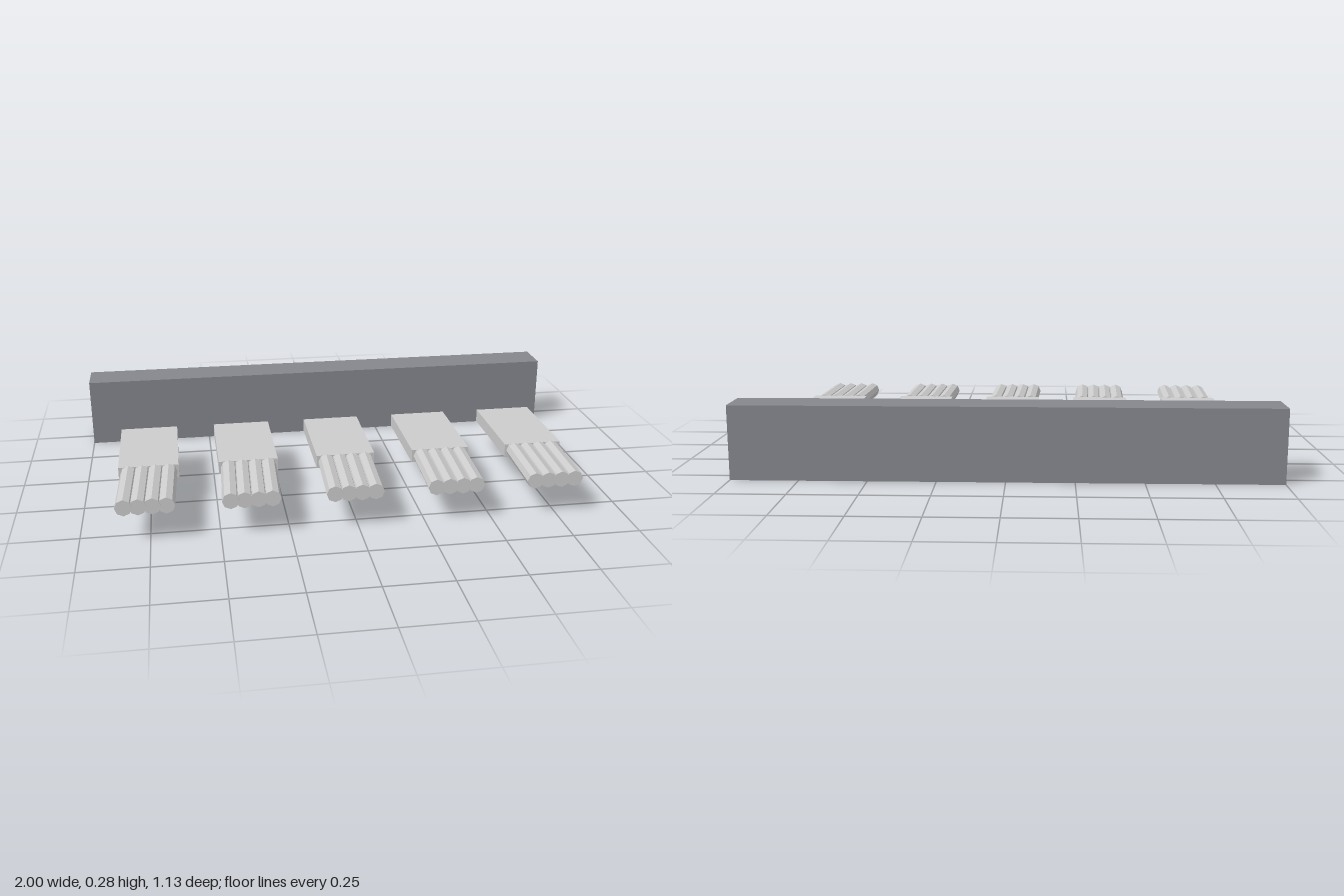
import * as THREE from 'three';

const grey = new THREE.MeshStandardMaterial({ color: 0xcccccc, flatShading: true });
const darkGrey = new THREE.MeshStandardMaterial({ color: 0x85878d });

const MID_Y = 0.138;

function addMesh(parent, name, geometry, material, x, y, z) {
  const mesh = new THREE.Mesh(geometry, material);
  mesh.name = name;
  mesh.position.set(x, y, z);
  parent.add(mesh);
  return mesh;
}

// One flat plate with four slightly slanted rods at its front end
function createFinger() {
  const finger = new THREE.Group();
  addMesh(finger, 'plate', new THREE.BoxGeometry(0.225, 0.051, 0.4), grey, 0, 0, 0.064);

  const rodLength = 0.301;
  const tilt = 0.04;
  const rodGeometry = new THREE.CylinderGeometry(0.031, 0.031, rodLength, 8);
  rodGeometry.rotateX(Math.PI / 2);
  rodGeometry.rotateY(-tilt);
  for (let i = 0; i < 4; i++) {
    const x = (i - 1.5) * 0.05 - Math.sin(tilt) * rodLength / 2;
    addMesh(finger, 'rod', rodGeometry, grey, x, 0, 0.414);
  }
  return finger;
}

export function createModel() {
  const model = new THREE.Group();
  model.name = 'barWithFingers';

  // Long bar at the back
  addMesh(model, 'bar', new THREE.BoxGeometry(2, 0.276, 0.15), darkGrey, 0, 0.138, -0.49);

  // Row of five fingers in front of the bar
  for (let i = 0; i < 5; i++) {
    const finger = createFinger();
    finger.name = 'finger';
    finger.position.set((i - 2) * 0.375, MID_Y, 0);
    model.add(finger);
  }
  return model;
}
